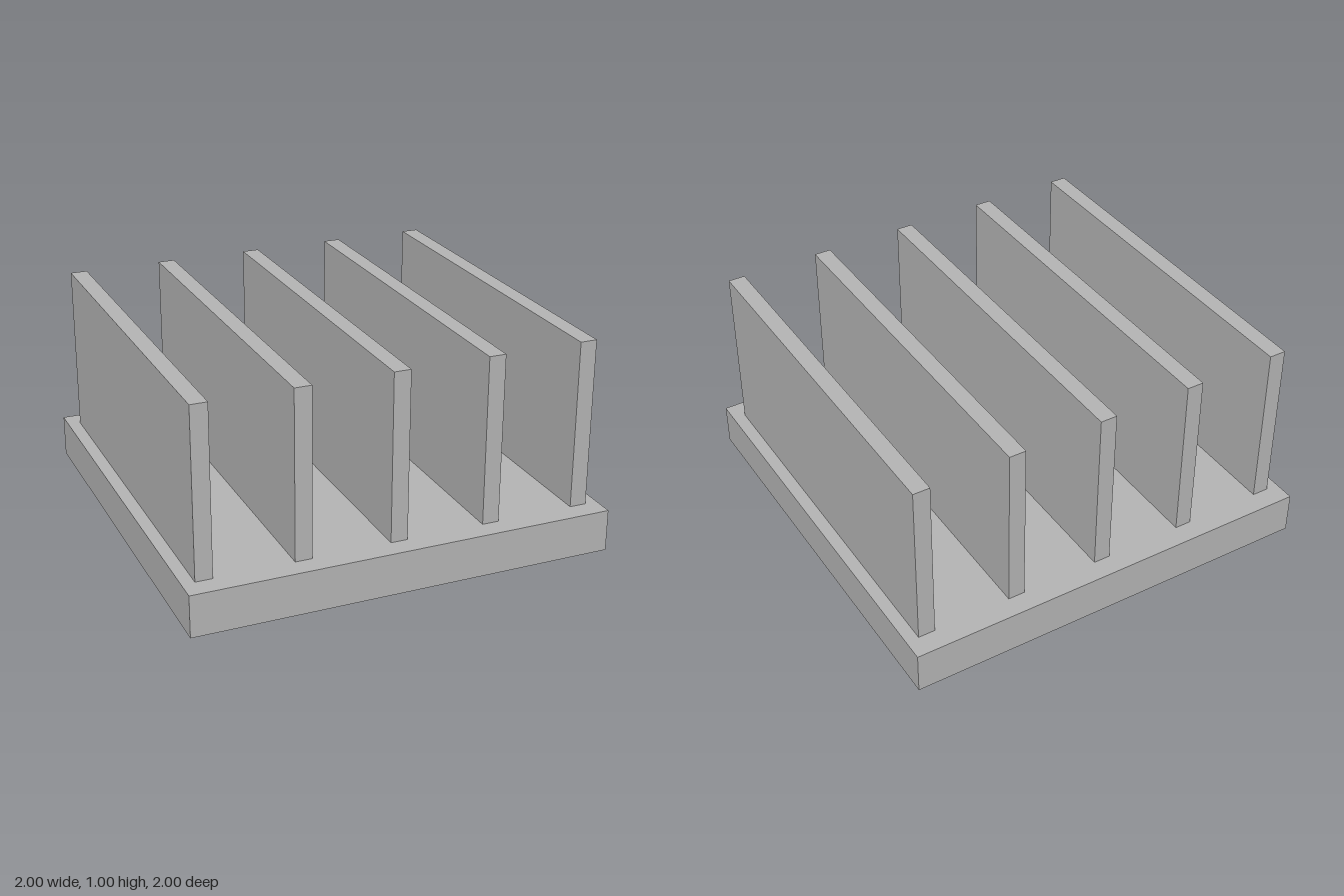
import * as THREE from 'three';

export function createModel() {
  const group = new THREE.Group();
  const metal = new THREE.MeshStandardMaterial({ color: 0xb2b2b2 });
  metal.name = 'grey metal';

  const addBox = (name, w, h, d, x, y) => {
    const mesh = new THREE.Mesh(new THREE.BoxGeometry(w, h, d), metal);
    mesh.name = name;
    mesh.position.set(x, y + h / 2, 0);
    group.add(mesh);
  };

  // Square base plate
  addBox('basePlate', 2, 0.2, 2, 0, 0);

  // Five evenly spaced upright fins
  for (let i = 0; i < 5; i++) {
    addBox(`fin${i + 1}`, 0.08, 0.8, 1.8, (i - 2) * 0.45, 0.2);
  }

  return group;
}
